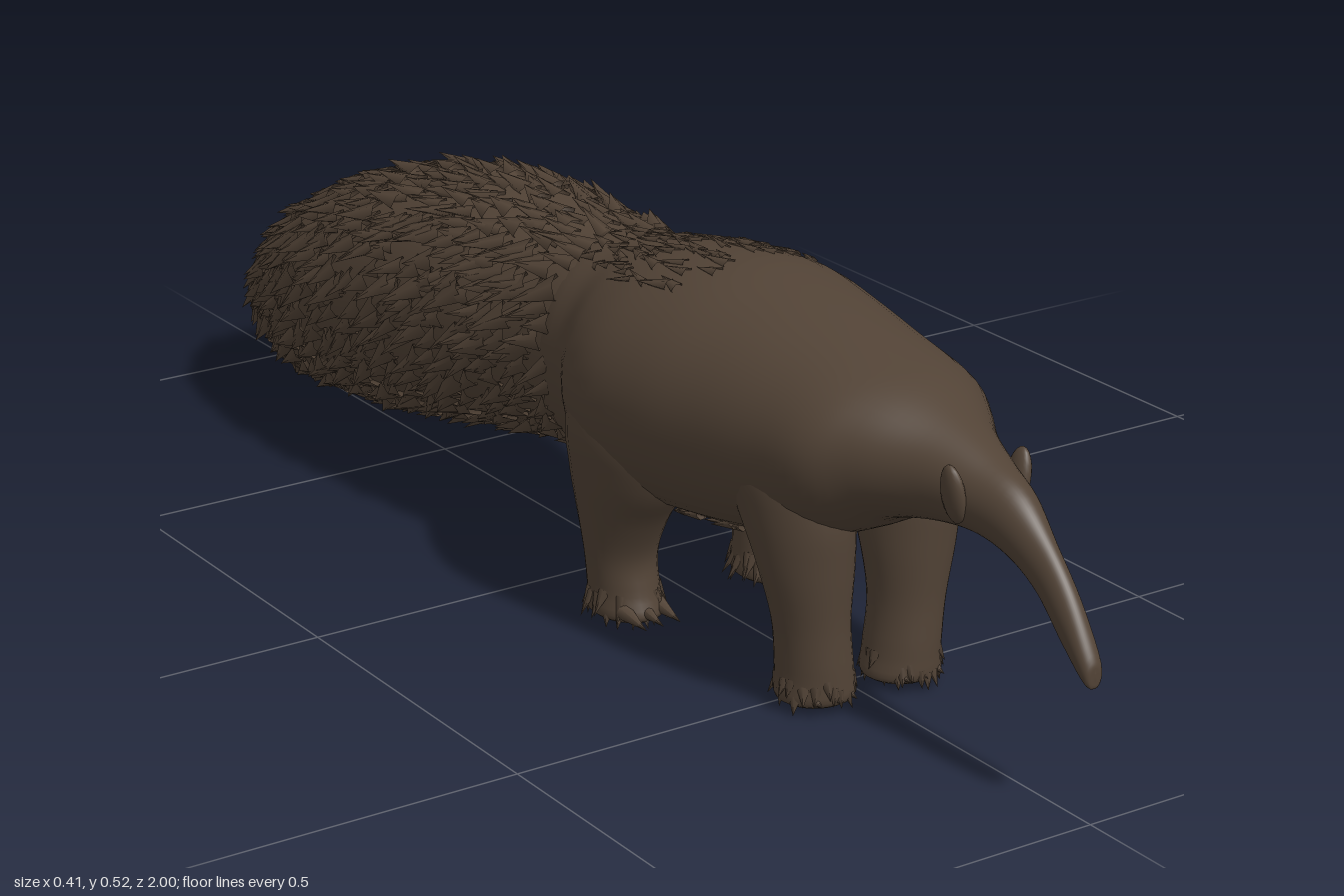
import * as THREE from 'three';
import { mergeGeometries } from 'three/addons/utils/BufferGeometryUtils.js';

const V = (x, y, z) => new THREE.Vector3(x, y, z);

// Small seeded random generator
let seed = 7;
const rand = () => {
  seed = (seed * 16807) % 2147483647;
  return seed / 2147483647;
};
const jitter = (a) => (rand() - 0.5) * 2 * a;

const smooth = (points) => new THREE.CatmullRomCurve3(points, false, 'catmullrom', 0.5);

// Smooth surface along z from rows of [z, top, bottom, half width];
// powers below 1 make the upper or lower half of the section squarer
function profile(rows, upper, lower) {
  const a = smooth(rows.map((r) => V(r[0], r[1], r[2])));
  const b = smooth(rows.map((r) => V(r[3], 0, 0)));
  return (t, ang) => {
    const p = a.getPoint(t);
    const w = Math.max(0, b.getPoint(t).x), h = Math.max(0, (p.y - p.z) / 2);
    const s = Math.sin(ang), c = Math.cos(ang);
    const x = Math.sign(s) * Math.abs(s) ** (c > 0 ? upper : lower);
    return V(w * x, (p.y + p.z) / 2 + h * c, p.x);
  };
}

// Leg surface from rows of [y, x, z, x radius, z radius]
function legProfile(rows, side) {
  const a = smooth(rows.map((r) => V(r[1], r[0], r[2])));
  const b = smooth(rows.map((r) => V(r[3], r[4], 0)));
  return (t, ang) => {
    const p = a.getPoint(t), r = b.getPoint(t);
    return V(side * p.x + Math.max(0, r.x) * Math.cos(ang), p.y, p.z - Math.max(0, r.y) * Math.sin(ang));
  };
}

// Skin a surface function with rings that close on themselves
function loft(surface, rings, sides) {
  const pos = [], idx = [];
  for (let i = 0; i <= rings; i++) {
    for (let j = 0; j < sides; j++) pos.push(...surface(i / rings, (j / sides) * Math.PI * 2).toArray());
  }
  for (let i = 0; i < rings; i++) {
    for (let j = 0; j < sides; j++) {
      const k = (j + 1) % sides;
      const a = i * sides + j, b = i * sides + k;
      idx.push(a, b, a + sides, b, b + sides, a + sides);
    }
  }
  const g = new THREE.BufferGeometry();
  g.setAttribute('position', new THREE.Float32BufferAttribute(pos, 3));
  g.setIndex(idx);
  g.computeVertexNormals();
  return g;
}

// One pointed lock of hair
const lock = new THREE.ConeGeometry(1, 1, 5, 1, true).translate(0, 0.5, 0);
function tuft(p, normal, dir, length, width) {
  const d = dir.clone().normalize();
  const side = d.clone().cross(normal).normalize();
  const n = side.clone().cross(d);
  const m = new THREE.Matrix4().makeBasis(
    side.multiplyScalar(width), d.multiplyScalar(length), n.multiplyScalar(width * 0.6));
  return lock.clone().applyMatrix4(m.setPosition(p));
}

// Hair growing backwards and hanging down over a surface
function fur(surface, o) {
  const out = [];
  for (let i = 0; i < o.rows; i++) {
    for (let j = 0; j < o.cols; j++) {
      const t = o.t0 + (o.t1 - o.t0) * ((i + rand()) / o.rows);
      const ang = o.a0 + (o.a1 - o.a0) * ((j + rand()) / o.cols);
      const p = surface(t, ang);
      const along = surface(t + 0.01, ang).sub(surface(t - 0.01, ang)).normalize();
      const around = surface(t, ang + 0.05).sub(surface(t, ang - 0.05)).normalize();
      const n = around.clone().cross(along).normalize();
      const dir = along.addScaledVector(around, jitter(0.3));
      dir.y -= o.droop;
      dir.addScaledVector(n, -dir.dot(n)).normalize().addScaledVector(n, o.lift + jitter(0.08));
      out.push(tuft(p, n, dir, o.length * (0.7 + 0.6 * rand()), o.width * (0.7 + 0.6 * rand())));
    }
  }
  return mergeGeometries(out);
}

export function createModel() {
  const group = new THREE.Group();
  const brown = new THREE.MeshStandardMaterial({ color: 0x524336 });
  brown.name = 'brown fur';
  brown.side = THREE.DoubleSide;
  const add = (name, geometry) => {
    const mesh = new THREE.Mesh(geometry, brown);
    mesh.name = name;
    group.add(mesh);
    return mesh;
  };

  // Snout, head and trunk
  const body = profile([
    [0.998, 0.2, 0.192, 0], [0.992, 0.222, 0.18, 0.014], [0.95, 0.288, 0.215, 0.018],
    [0.9, 0.342, 0.266, 0.021], [0.85, 0.386, 0.298, 0.032], [0.79, 0.41, 0.312, 0.047],
    [0.72, 0.437, 0.306, 0.072], [0.65, 0.463, 0.288, 0.115], [0.59, 0.478, 0.252, 0.15],
    [0.5, 0.497, 0.215, 0.164], [0.4, 0.514, 0.192, 0.18], [0.3, 0.523, 0.178, 0.198],
    [0.2, 0.515, 0.168, 0.205], [0.12, 0.5, 0.168, 0.186], [0.05, 0.486, 0.17, 0.15],
    [-0.04, 0.47, 0.175, 0.125], [-0.1, 0.4, 0.25, 0],
  ], 1, 0.75);
  add('body', loft(body, 80, 44));

  // Long bushy tail, blunt at the end
  const tail = profile([
    [0.1, 0.45, 0.22, 0.09], [0.03, 0.474, 0.176, 0.134], [-0.08, 0.473, 0.165, 0.143],
    [-0.2, 0.476, 0.145, 0.16], [-0.32, 0.469, 0.12, 0.174], [-0.44, 0.452, 0.095, 0.18],
    [-0.56, 0.423, 0.075, 0.18], [-0.68, 0.38, 0.06, 0.169], [-0.78, 0.33, 0.055, 0.146],
    [-0.87, 0.268, 0.068, 0.108], [-0.93, 0.215, 0.095, 0.066], [-0.965, 0.15, 0.14, 0],
  ], 0.85, 0.85);
  add('tail', loft(tail, 50, 40));
  add('tailFur', fur(tail, {
    rows: 40, cols: 32, t0: 0.11, t1: 0.96, a0: 0, a1: Math.PI * 2, lift: 0.2, droop: 0.55, length: 0.065, width: 0.017,
  }));

  // Sparse flat hair on the back and a short fringe under the belly
  add('backFur', fur(body, {
    rows: 10, cols: 8, t0: 0.69, t1: 0.9, a0: -0.6, a1: 0.6, lift: 0.04, droop: 0, length: 0.05, width: 0.009,
  }));
  add('bellyFur', fur(body, {
    rows: 10, cols: 10, t0: 0.62, t1: 0.88, a0: Math.PI - 0.5, a1: Math.PI + 0.5, lift: 0.15, droop: 0, length: 0.045, width: 0.01,
  }));

  const frontRows = [
    [0.012, 0.068, 0.53, 0, 0], [0.014, 0.068, 0.53, 0.05, 0.048], [0.05, 0.07, 0.53, 0.05, 0.054],
    [0.12, 0.076, 0.53, 0.05, 0.054], [0.2, 0.081, 0.522, 0.062, 0.068],
    [0.27, 0.084, 0.503, 0.07, 0.09], [0.34, 0.084, 0.475, 0.073, 0.105], [0.42, 0.075, 0.45, 0.055, 0.09],
  ];
  const hindRows = [
    [0.012, 0.118, 0.165, 0, 0], [0.014, 0.118, 0.165, 0.045, 0.058], [0.05, 0.119, 0.162, 0.046, 0.056],
    [0.1, 0.122, 0.16, 0.048, 0.055], [0.16, 0.124, 0.168, 0.056, 0.076],
    [0.22, 0.122, 0.182, 0.069, 0.105], [0.29, 0.112, 0.19, 0.087, 0.12], [0.38, 0.095, 0.195, 0.085, 0.1],
  ];

  for (const [s, label] of [[1, 'left'], [-1, 'right']]) {
    for (const [rows, part, reach] of [[frontRows, 'FrontLeg', 0.026], [hindRows, 'HindLeg', 0.04]]) {
      add(label + part, loft(legProfile(rows, s), 32, 28));

      // Ragged hair around the foot
      const [, x, z, rx, rz] = rows[2];
      const hairs = [];
      for (let i = 0; i < 26; i++) {
        const a = (i / 26) * Math.PI * 2 + jitter(0.1);
        const n = V(Math.cos(a), 0, Math.sin(a));
        const p = V(s * x + n.x * rx * 0.92, 0.025 + rand() * 0.03, z + n.z * rz * 0.92);
        const dir = V(n.x * 0.35 + jitter(0.2), -0.9, n.z * 0.35 + jitter(0.2));
        hairs.push(tuft(p, n, dir, Math.min(reach, p.y - 0.002), 0.01));
      }
      add(label + part + 'Hair', mergeGeometries(hairs));

      // Short toes pointing forward
      const front = part === 'HindLeg' ? 0.07 : 0.04;
      for (let i = -1; i <= 1; i++) {
        const toe = new THREE.ConeGeometry(0.012, reach * 1.4, 8).rotateX(Math.PI / 2 + 0.15);
        add(label + part + 'Toe', toe.translate(s * x + i * 0.027, 0.024, z + front));
      }
    }

    // Small ear leaning outwards from the head
    const ear = add(label + 'Ear', new THREE.SphereGeometry(1, 16, 12));
    ear.scale.set(0.012, 0.04, 0.02);
    ear.position.set(s * 0.05, 0.368, 0.78);
    ear.rotation.z = -s * 0.18;
  }
  return group;
}
